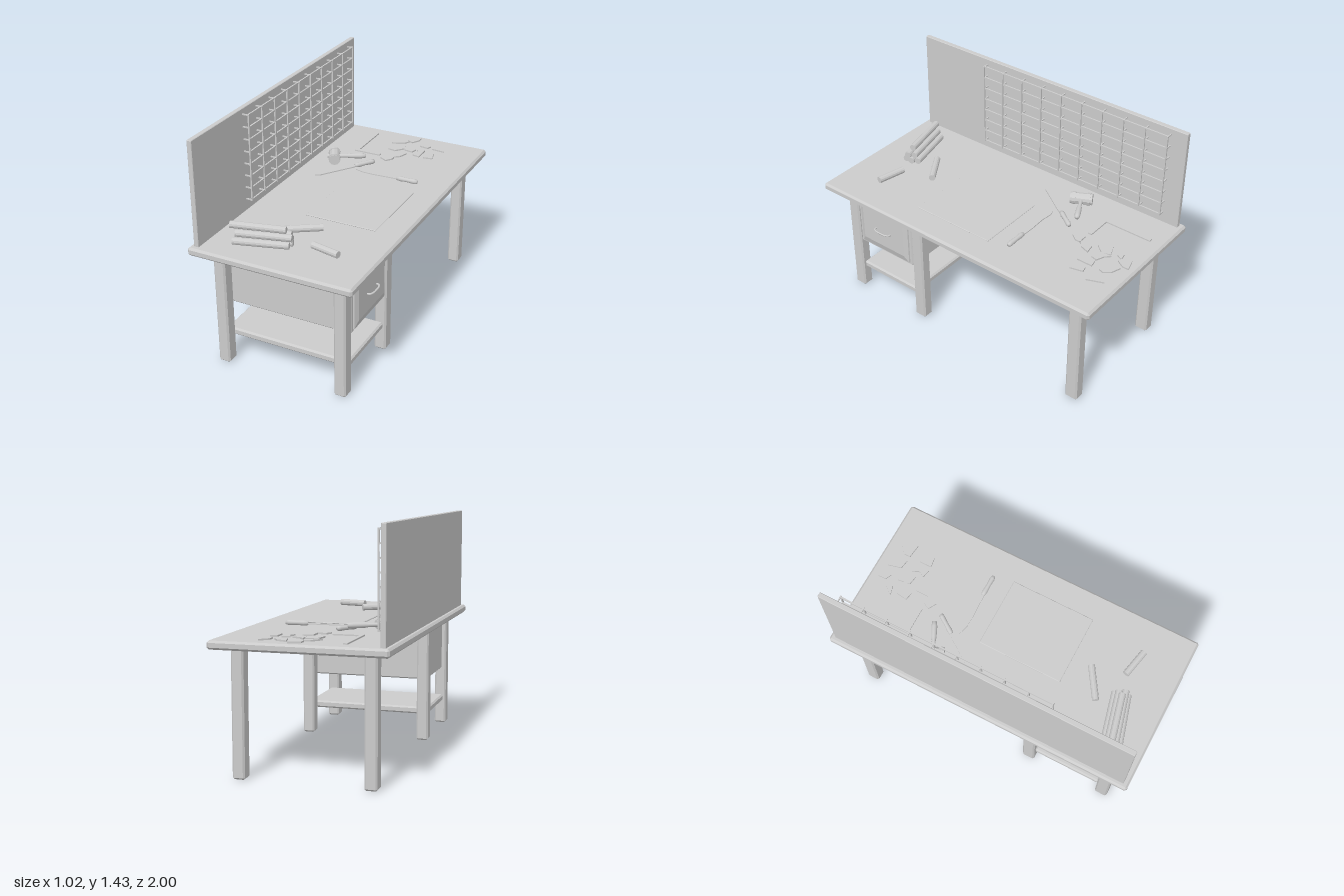
import * as THREE from 'three';
import { ConvexGeometry } from 'three/addons/geometries/ConvexGeometry.js';

const TOP = 0.79; // height of the work surface
const grey = new THREE.MeshStandardMaterial({ color: 0xcccccc });
const flat = new THREE.MeshStandardMaterial({ color: 0xcccccc, flatShading: true });

function add(parent, name, geometry, x = 0, y = 0, z = 0, material = flat) {
  const mesh = new THREE.Mesh(geometry, material);
  mesh.name = name;
  mesh.position.set(x, y, z);
  parent.add(mesh);
  return mesh;
}

function group(parent, name, x = 0, y = 0, z = 0, turn = 0) {
  const g = new THREE.Group();
  g.name = name;
  g.position.set(x, y, z);
  g.rotation.y = turn;
  parent.add(g);
  return g;
}

// Box with every edge chamfered by c
function chamferBox(w, h, d, c) {
  const points = [];
  for (const i of [-1, 1]) for (const j of [-1, 1]) for (const k of [-1, 1]) {
    for (const [a, b, e] of [[0, c, c], [c, 0, c], [c, c, 0]]) {
      points.push(new THREE.Vector3(i * (w / 2 - a), j * (h / 2 - b), k * (d / 2 - e)));
    }
  }
  return new ConvexGeometry(points);
}

// Flat plate lying on y = 0, outlined by [x, z] points
function plate(outline, thickness) {
  const shape = new THREE.Shape(outline.map(([x, z]) => new THREE.Vector2(x, -z)));
  return new THREE.ExtrudeGeometry(shape, { depth: thickness, bevelEnabled: false }).rotateX(-Math.PI / 2);
}

// Turned handle along +x, from [distance, radius] pairs
function turned(profile) {
  return new THREE.LatheGeometry(profile.map(([d, r]) => new THREE.Vector2(r, d)), 12).rotateZ(-Math.PI / 2);
}

function buildTable(root) {
  add(root, 'tabletop', chamferBox(1.02, 0.05, 2, 0.012), 0, 0.765, 0);
  for (const x of [-0.38, 0.38]) for (const z of [0.85, 0.323, -0.85]) {
    add(root, 'leg', chamferBox(0.074, 0.742, 0.082, 0.01), x, 0.371, z);
    add(root, 'legCap', new THREE.BoxGeometry(0.09, 0.012, 0.096), x, 0.736, z);
  }
  add(root, 'lowerShelf', chamferBox(0.8, 0.045, 0.45, 0.01), 0, 0.174, 0.587);
}

function buildDrawer(root) {
  const drawer = group(root, 'drawerUnit', 0, 0.557, 0.587);
  add(drawer, 'cabinet', chamferBox(0.8, 0.36, 0.44, 0.008), 0.01, 0, 0);
  // Raised panel with sloping sides
  const points = [];
  for (const [x, h, d] of [[0.405, 0.16, 0.2], [0.418, 0.158, 0.195], [0.431, 0.115, 0.165]]) {
    for (const i of [-1, 1]) for (const j of [-1, 1]) points.push(new THREE.Vector3(x, i * h, j * d));
  }
  add(drawer, 'drawerFront', new ConvexGeometry(points));
  const curve = new THREE.CatmullRomCurve3([
    [0.425, -0.06], [0.446, -0.057], [0.457, -0.035], [0.459, 0], [0.457, 0.035], [0.446, 0.057], [0.425, 0.06],
  ].map(([x, z]) => new THREE.Vector3(x, 0, z)));
  add(drawer, 'drawerHandle', new THREE.TubeGeometry(curve, 24, 0.006, 8), 0, 0, 0, grey);
}

function buildBackboard(root) {
  add(root, 'backboard', chamferBox(0.03, 0.645, 1.936, 0.003), -0.468, 1.1085, 0);
  // Wire tool rack on short pegs
  const rack = group(root, 'toolRack');
  const rows = 8, columns = 10, y0 = 0.862, y1 = 1.396, z0 = -0.864, z1 = 0.455;
  const bar = 0.009;
  for (let r = 0; r < rows; r++) {
    const y = y0 + (y1 - y0) * r / (rows - 1);
    add(rack, 'rackRow', new THREE.BoxGeometry(bar, bar, z1 - z0 + bar), -0.417, y, (z0 + z1) / 2);
    for (let c = 0; c < columns; c++) {
      const z = z0 + (z1 - z0) * c / (columns - 1);
      add(rack, 'rackPeg', new THREE.BoxGeometry(0.04, 0.007, 0.007), -0.436, y, z);
    }
  }
  for (let c = 0; c < columns; c++) {
    const z = z0 + (z1 - z0) * c / (columns - 1);
    add(rack, 'rackColumn', new THREE.BoxGeometry(bar, y1 - y0 + bar, bar), -0.413, (y0 + y1) / 2, z);
  }
}

function buildLogs(root) {
  const log = (parent, length, x, y, z, turn) => {
    const geometry = new THREE.CylinderGeometry(0.021, 0.021, length, 12).rotateZ(Math.PI / 2);
    add(parent, 'log', geometry, x, y, z).rotation.y = turn;
  };
  // Stacked 3, 2, 1
  const stack = group(root, 'logStack', -0.165, TOP, 0.765, 0.25);
  for (let row = 0; row < 3; row++) {
    for (let i = 0; i < 3 - row; i++) {
      const z = (i - (2 - row) / 2) * 0.043;
      log(stack, 0.325, [0.005, 0.005, -0.02][row] + (i % 2) * 0.012, 0.021 + row * 0.038, z, (i - 0.5) * 0.02);
    }
  }
  log(root, 0.22, -0.02, TOP + 0.021, 0.545, 0.57);
  log(root, 0.18, 0.205, TOP + 0.021, 0.71, -0.21);
}

function buildTools(root) {
  add(root, 'workMat', chamferBox(0.45, 0.008, 0.545, 0.003), 0.119, TOP + 0.003, 0.092);
  add(root, 'squareRule', plate([
    [-0.26, -0.915], [-0.236, -0.915], [-0.236, -0.615], [-0.08, -0.615], [-0.08, -0.59], [-0.26, -0.59],
  ], 0.008), 0, TOP, 0);

  // Mallet with banded head
  const mallet = group(root, 'mallet', -0.305, TOP + 0.038, -0.385, 0.47);
  const drum = (r, l) => new THREE.CylinderGeometry(r, r, l, 12).rotateX(Math.PI / 2);
  add(mallet, 'malletHead', drum(0.035, 0.135));
  for (const z of [-0.045, 0.045]) add(mallet, 'malletBand', drum(0.039, 0.02), 0, 0, z);
  add(mallet, 'malletHandle', turned([
    [-0.045, 0], [-0.045, 0.012], [0.08, 0.012], [0.1, 0.016], [0.17, 0.018], [0.2, 0.014], [0.204, 0],
  ]), 0, 0, 0, grey);

  // File and knife, each starting at the end of its handle
  const grip = [[0, 0], [0.002, 0.012], [0.02, 0.016], [0.07, 0.013], [0.115, 0.016], [0.14, 0.012], [0.142, 0]];
  const file = group(root, 'file', -0.06, TOP, -0.47, Math.atan2(-67, -46));
  add(file, 'fileHandle', turned(grip), 0, 0.016, 0, grey);
  add(file, 'fileBlade', plate([
    [0.13, -0.007], [0.17, -0.012], [0.4, -0.011], [0.43, 0.004], [0.4, 0.011], [0.17, 0.012], [0.13, 0.007],
  ], 0.007), 0, 0.009, 0);
  const knife = group(root, 'knife', 0.312, TOP, -0.305, Math.PI);
  add(knife, 'knifeHandle', turned(grip), 0, 0.016, 0, grey);
  add(knife, 'knifeBlade', plate([
    [0.13, -0.008], [0.19, -0.01], [0.3, -0.016], [0.37, -0.012], [0.427, 0.005], [0.4, 0.014], [0.32, 0.006],
    [0.22, 0.01], [0.13, 0.008],
  ], 0.006), 0, 0.01, 0);
}

// Broken pieces, outlines in hundredths of a unit
function buildShards(root) {
  const shards = group(root, 'shards', 0, TOP, 0);
  const outlines = [
    [[-1, -94], [6, -96], [6, -92], [3, -87], [-1, -89]],
    [[-9, -81], [-4, -87], [1, -88], [-1, -84], [-5, -82]],
    [[8, -92], [14, -90], [17, -86], [16, -83], [10, -84]],
    [[24, -92], [28, -82], [19, -83], [19, -87]],
    [[-6, -78], [1, -81], [3, -76], [-2, -70], [-7, -71]],
    [[2, -82], [5, -79], [10, -77], [9, -73], [3, -74]],
    [[11, -77], [16, -78], [16, -68], [11, -69], [13, -73]],
    [[19, -76], [23, -77], [25, -69], [19, -68]],
    [[1, -68], [7, -69], [5, -63], [1, -60]],
    [[-4, -60], [2, -60], [2, -57], [-1, -53], [-6, -56]],
  ];
  for (const outline of outlines) {
    add(shards, 'shard', plate(outline.map(([x, z]) => [x / 100, z / 100]), 0.009));
  }
}

export function createModel() {
  const root = new THREE.Group();
  root.name = 'workbench';
  buildTable(root);
  buildDrawer(root);
  buildBackboard(root);
  buildLogs(root);
  buildTools(root);
  buildShards(root);
  return root;
}
